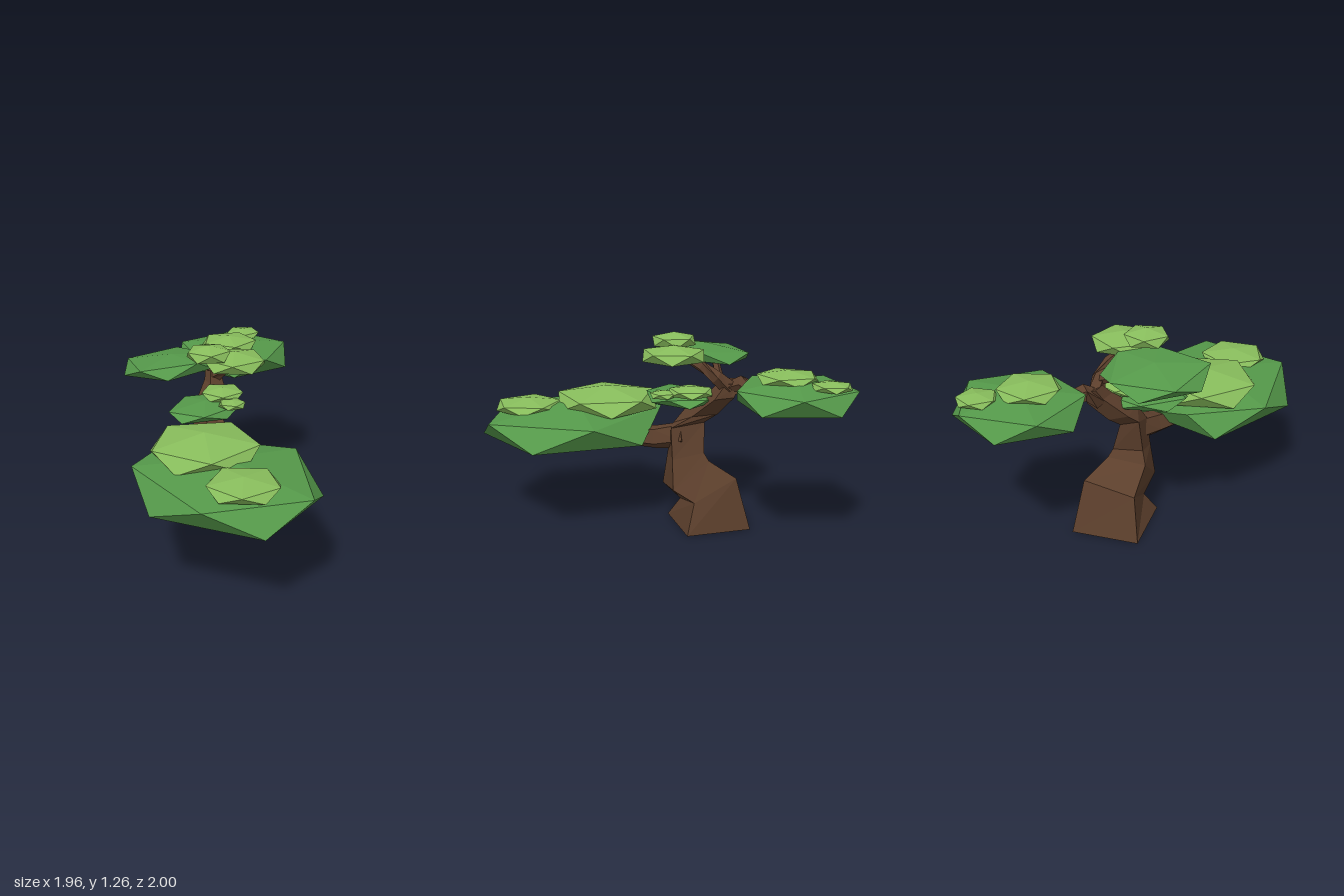
import * as THREE from 'three';

const mat = (color) => new THREE.MeshStandardMaterial({ color, flatShading: true });
const bark = mat(0x5c3f2c), leaf = mat(0x55994a), lightLeaf = mat(0x88bd5c);

// Flat-shaded mesh from a list of triangles (three corners each)
function facets(name, corners, material) {
  const geo = new THREE.BufferGeometry();
  geo.setAttribute('position', new THREE.Float32BufferAttribute(corners.flat(), 3));
  geo.computeVertexNormals();
  const mesh = new THREE.Mesh(geo, material);
  mesh.name = name;
  return mesh;
}

// Closed skin over rings of equal size, counter-clockwise about the growing direction
function skin(name, rings) {
  const t = [], n = rings[0].length, end = rings[rings.length - 1];
  for (let k = 0; k + 1 < rings.length; k++) {
    for (let i = 0; i < n; i++) {
      const j = (i + 1) % n, a = rings[k], b = rings[k + 1];
      t.push(a[i], a[j], b[j], a[i], b[j], b[i]);
    }
  }
  for (let i = 1; i + 1 < n; i++) {
    t.push(rings[0][0], rings[0][i + 1], rings[0][i]);
    t.push(end[0], end[i], end[i + 1]);
  }
  return facets(name, t, bark);
}

// Tapered branch through points [x, y, z, radius]
function limb(name, points, sides = 5) {
  const ref = new THREE.Vector3(-0.3, 0.2, 1);
  const pos = points.map((p) => new THREE.Vector3(p[0], p[1], p[2]));
  const rings = points.map((p, k) => {
    const dir = pos[Math.min(k + 1, pos.length - 1)].clone().sub(pos[Math.max(k - 1, 0)]).normalize();
    const u = new THREE.Vector3().crossVectors(dir, ref).normalize();
    const v = new THREE.Vector3().crossVectors(dir, u);
    return Array.from({ length: sides }, (_, i) => {
      const a = (i / sides) * Math.PI * 2;
      return pos[k].clone().addScaledVector(u, Math.cos(a) * p[3])
        .addScaledVector(v, Math.sin(a) * p[3]).toArray();
    });
  });
  return skin(name, rings);
}

// Twenty-faced leaf pad: ten rim points, alternately high and low, between two tips.
// The rim runs counter-clockwise as seen from above.
function pad(name, rim, top, bottom, material) {
  const t = [];
  for (let i = 0; i < 10; i += 2) {
    const hi = rim[i], lo = rim[i + 1], hi2 = rim[(i + 2) % 10], lo2 = rim[(i + 3) % 10];
    t.push(top, hi, hi2, hi, lo, hi2, lo, lo2, hi2, bottom, lo2, lo);
  }
  return facets(name, t, material);
}

// Pad with an individual outline of [x, z] points
function shapedPad(name, outline, yHigh, yLow, top, bottom, slope = 0) {
  const rim = outline.map(([x, z], i) => [x, (i % 2 ? yLow : yHigh) + slope * (z - top[2]), z]);
  return pad(name, rim, top, bottom, leaf);
}

// Round pad with radii rx, ry, rz
function roundPad(name, [x, y, z], rx, ry, rz, turn, material) {
  const rim = Array.from({ length: 10 }, (_, i) => {
    const a = turn + (i / 10) * Math.PI * 2;
    return [x + rx * Math.cos(a), y + ry * (i % 2 ? -0.447 : 0.447), z - rz * Math.sin(a)];
  });
  return pad(name, rim, [x, y + ry, z], [x, y - ry, z], material);
}

export function createModel() {
  const tree = new THREE.Group();
  tree.name = 'bonsaiTree';

  // Trunk: four-cornered rings, left-front corner first
  tree.add(skin('trunk', [
    [[-0.16, 0, -0.15], [0.26, 0, -0.07], [0.34, 0, -0.49], [-0.08, 0, -0.57]],
    [[-0.08, 0.13, -0.2], [0.22, 0.2, -0.14], [0.27, 0.34, -0.42], [-0.05, 0.28, -0.49]],
    [[-0.14, 0.24, -0.1], [0.14, 0.28, -0.03], [0.14, 0.44, -0.29], [-0.1, 0.42, -0.33]],
    [[-0.11, 0.46, -0.12], [0.07, 0.46, -0.06], [0.11, 0.49, -0.27], [-0.08, 0.5, -0.29]],
    [[-0.09, 0.66, -0.15], [0.03, 0.66, -0.07], [0.06, 0.68, -0.3], [-0.06, 0.72, -0.33]],
    [[-0.04, 0.79, -0.24], [0.07, 0.73, -0.2], [0.12, 0.74, -0.36], [0.0, 0.78, -0.38]],
    [[0.1, 0.91, -0.33], [0.2, 0.86, -0.29], [0.24, 0.87, -0.41], [0.14, 0.91, -0.43]],
    [[0.15, 0.98, -0.38], [0.22, 0.96, -0.36], [0.25, 0.95, -0.44], [0.18, 0.98, -0.46]],
  ]));

  // Branches
  tree.add(limb('frontBranch', [
    [0.0, 0.6, -0.18, 0.09], [-0.12, 0.57, -0.04, 0.08], [-0.28, 0.56, 0.12, 0.06], [-0.45, 0.51, 0.33, 0.03]]));
  tree.add(limb('rightBranch', [
    [0.17, 0.89, -0.38, 0.06], [0.25, 0.96, -0.46, 0.055], [0.4, 0.91, -0.53, 0.04], [0.56, 0.81, -0.59, 0.015]]));
  tree.add(limb('topBranch', [
    [0.19, 0.93, -0.4, 0.055], [0.18, 1.0, -0.31, 0.045], [0.13, 1.07, -0.23, 0.035], [0.06, 1.12, -0.15, 0.02]]));
  tree.add(limb('backBranch', [
    [0.16, 1.0, -0.34, 0.03], [0.02, 1.06, -0.4, 0.025], [-0.12, 1.09, -0.43, 0.015]]));
  tree.add(limb('middleBranch', [
    [0.03, 0.74, -0.28, 0.04], [-0.03, 0.79, -0.23, 0.03], [-0.08, 0.83, -0.2, 0.02]]));

  // Large leaf pads
  tree.add(shapedPad('frontFoliage', [
    [-0.4, 1], [-0.1, 0.82], [0.05, 0.47], [0.02, 0.13], [-0.34, -0.19],
    [-0.52, -0.22], [-0.82, -0.04], [-0.98, 0.3], [-0.94, 0.68], [-0.72, 0.94]],
  0.715, 0.57, [-0.47, 0.79, 0.38], [-0.43, 0.48, 0.35]));
  tree.add(shapedPad('rightFoliage', [
    [0.94, -0.44], [0.98, -0.68], [0.87, -0.89], [0.65, -1], [0.42, -0.96],
    [0.25, -0.8], [0.22, -0.55], [0.35, -0.36], [0.54, -0.24], [0.77, -0.27]],
  0.995, 0.885, [0.6, 1.05, -0.62], [0.6, 0.82, -0.61]));
  tree.add(shapedPad('backFoliage', [
    [0.07, -0.24], [0.16, -0.42], [0.07, -0.62], [-0.1, -0.71], [-0.3, -0.68],
    [-0.44, -0.55], [-0.48, -0.34], [-0.38, -0.2], [-0.16, -0.17], [-0.02, -0.18]],
  1.13, 1.065, [-0.16, 1.16, -0.42], [-0.14, 1.03, -0.4], 0.1));
  tree.add(roundPad('middleFoliage', [-0.08, 0.835, -0.19], 0.27, 0.05, 0.2, 0.3, leaf));

  // Small light pads resting on the large ones: centre, radius, half height, turn
  const tufts = [
    ['frontTuftLarge', [-0.43, 0.775, 0.17], 0.335, 0.1, 0.3],
    ['frontTuftSmall', [-0.6, 0.755, 0.66], 0.215, 0.055, 0.1],
    ['rightTuftLarge', [0.54, 1.04, -0.6], 0.19, 0.05, 0.4],
    ['rightTuftSmall', [0.81, 1.025, -0.73], 0.12, 0.035, 0.2],
    ['topTuftLarge', [0.06, 1.14, -0.07], 0.2, 0.065, 0.1],
    ['topTuftSmall', [-0.085, 1.205, -0.15], 0.14, 0.057, 0.3],
    ['middleTuftLarge', [0.07, 0.895, -0.19], 0.14, 0.04, 0.2],
    ['middleTuftSmall', [0.0, 0.88, -0.03], 0.085, 0.03, 0.5],
  ];
  for (const [name, c, r, h, turn] of tufts) tree.add(roundPad(name, c, r, h, r, turn, lightLeaf));

  return tree;
}
